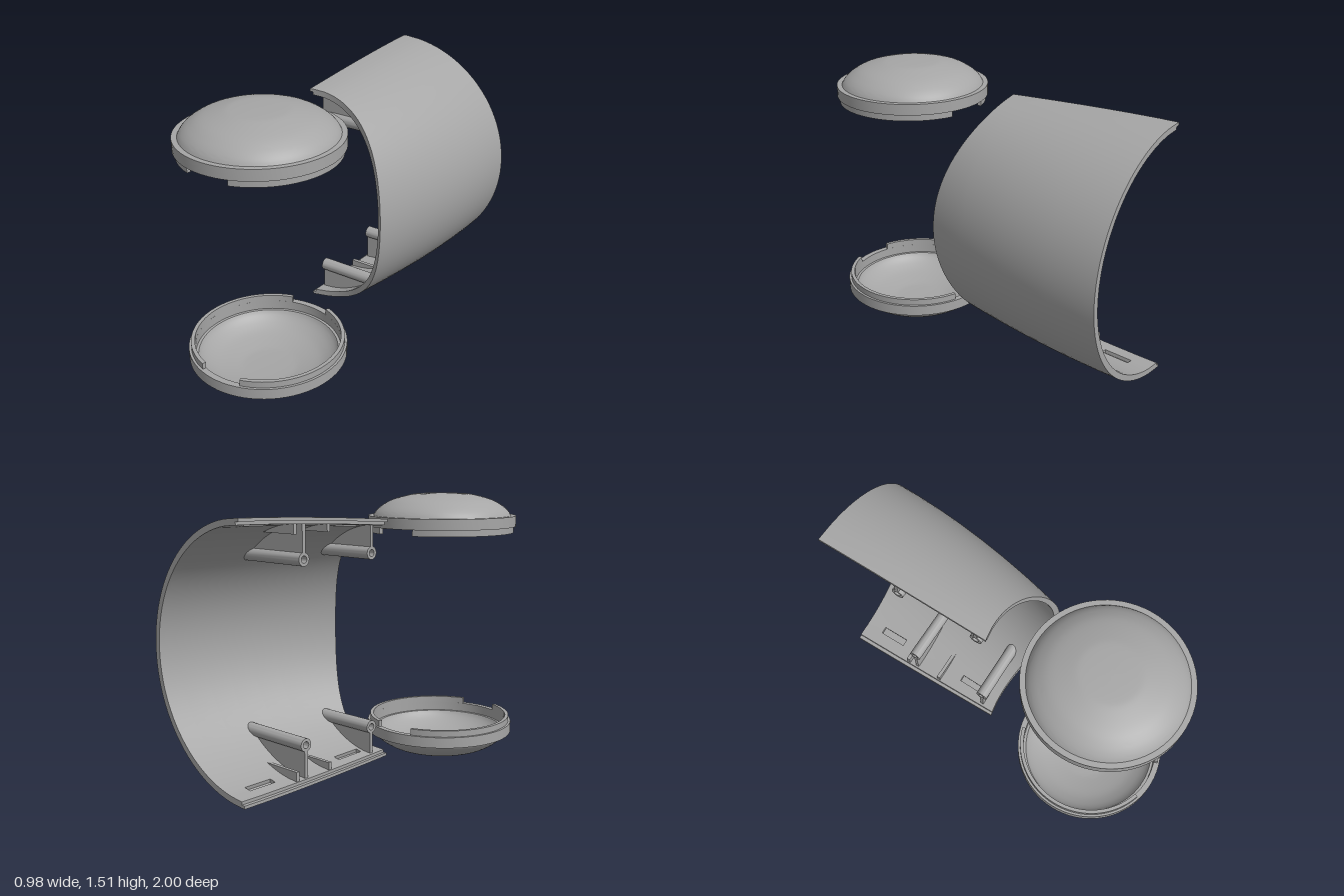
import * as THREE from 'three';
import { toCreasedNormals } from 'three/addons/utils/BufferGeometryUtils.js';

const CX = -0.205, CY = 0.755;            // axis of the half-round shell
const CAP_X = -0.07, CAP_Z = 0.575;       // vertical axis shared by the caps and the front cut
const THICK = 0.032;

// Half axes of the shell section, narrowing toward the front
const halfX = z => 0.695 - 0.165 * Math.pow(Math.max(0, z + 1) / 1.1, 1.9);
const halfY = z => 0.6825 - 0.045 * Math.pow(Math.max(0, z + 1) / 0.97, 1.5);
const shellX = (y, z, off) =>
  CX + (halfX(z) - off) * Math.sqrt(Math.max(0, 1 - ((y - CY) / (halfY(z) - off)) ** 2));

function shellGeometry() {
  // Angle stops: rabbet along each long edge, slot columns, even steps between
  const ends = [0, 0.03, 0.145, 0.206];
  const steps = 44, angles = [];
  for (const a of ends) angles.push(a - Math.PI / 2);
  for (let k = 1; k < steps; k++) angles.push(-Math.PI / 2 + 0.206 + (Math.PI - 0.412) * k / steps);
  for (const a of [...ends].reverse()) angles.push(Math.PI / 2 - a);
  const zStops = [-1, -0.89, -0.73, -0.6, -0.45, -0.3, -0.14], frontRows = 5;
  const cols = angles.length - 1, rows = zStops.length - 1 + frontRows;

  const point = (i, j, off) => {
    const c = Math.cos(angles[i]), s = Math.sin(angles[i]);
    let z = zStops[Math.min(j, zStops.length - 1)];
    if (j >= zStops.length) {
      // Front edge follows a round cut concentric with the caps
      let edge = 0;
      for (let n = 0; n < 12; n++) {
        const x = CX + (halfX(edge) - off) * c;
        edge = CAP_Z - Math.sqrt(0.615 ** 2 - (x - CAP_X) ** 2);
      }
      z += (edge - z) * (j - zStops.length + 1) / frontRows;
    }
    return [CX + (halfX(z) - off) * c, CY + (halfY(z) - off) * s, z];
  };
  const depth = (i, j) => {
    if (i < 0 || j < 0 || i >= cols || j >= rows) return 0;
    if (i === 0 || i === cols - 1) return THICK * 0.5;
    if ((i === 2 || i === cols - 3) && (j === 1 || j === 5)) return THICK * 0.4;
    return THICK;
  };

  const pos = [];
  const quad = (a, b, c, d) => pos.push(...a, ...b, ...c, ...a, ...c, ...d);
  for (let i = 0; i < cols; i++) for (let j = 0; j < rows; j++) {
    const d = depth(i, j);
    quad(point(i, j, 0), point(i + 1, j, 0), point(i + 1, j + 1, 0), point(i, j + 1, 0));
    quad(point(i, j + 1, d), point(i + 1, j + 1, d), point(i + 1, j, d), point(i, j, d));
    // Step walls wherever the neighbouring cell is thinner
    for (const side of [1, -1]) {
      const n = depth(i + side, j), e = side > 0 ? i + 1 : i;
      if (n < d) {
        const w = [point(e, j, d), point(e, j + 1, d), point(e, j + 1, n), point(e, j, n)];
        quad(...(side > 0 ? w : w.reverse()));
      }
      const m = depth(i, j + side), f = side > 0 ? j + 1 : j;
      if (m < d) {
        const w = [point(i, f, d), point(i, f, m), point(i + 1, f, m), point(i + 1, f, d)];
        quad(...(side > 0 ? w : w.reverse()));
      }
    }
  }
  const g = new THREE.BufferGeometry();
  g.setAttribute('position', new THREE.Float32BufferAttribute(pos, 3));
  return toCreasedNormals(g, 0.5);
}

// Upright web from a level edge down (or up) into the shell wall
function webGeometry(z, side, height, x0) {
  const yEdge = CY + side * height, off = THICK * 0.6;
  const x1 = shellX(yEdge, z, off);
  const shape = new THREE.Shape();
  shape.moveTo(x0, yEdge);
  for (let k = 0; k <= 12; k++) {
    const x = x1 + (x0 - x1) * k / 12;
    const t = (x - CX) / (halfX(z) - off);
    shape.lineTo(x, CY + side * (halfY(z) - off) * Math.sqrt(1 - t * t));
  }
  shape.closePath();
  const g = new THREE.ExtrudeGeometry(shape, { depth: 0.02, bevelEnabled: false });
  return g.translate(0, 0, z - 0.01);
}

// Hollow peg along x whose far end is trimmed to the shell wall
function pegGeometry(z, side) {
  const R = 0.034, r = 0.018, y = CY + side * 0.465;
  const profile = [[r, 0], [R, 0], [R, 1], [r, 1], [r, 0]].map(p => new THREE.Vector2(...p));
  const g = new THREE.LatheGeometry(profile, 28);
  g.rotateZ(-Math.PI / 2).translate(0, y, z);
  const p = g.attributes.position;
  for (let i = 0; i < p.count; i++) {
    p.setX(i, p.getX(i) > 0.5 ? shellX(p.getY(i), z, THICK * 0.5) : -0.175);
  }
  return toCreasedNormals(g, 0.6);
}

function makeCap(material) {
  const cap = new THREE.Group();
  // Domed dish with a raised band, hollow inside
  const dome = new THREE.SplineCurve([[0, 0], [0.12, 0.003], [0.18, 0.01], [0.279, 0.037],
    [0.339, 0.069], [0.375, 0.1], [0.392, 0.126]].map(p => new THREE.Vector2(...p))).getPoints(24);
  dome[0].x = 0;
  const inner = dome.map(p => new THREE.Vector2(p.x * 0.95, 0.02 + p.y * 0.9)).reverse();
  const profile = [...dome, new THREE.Vector2(0.42, 0.126), new THREE.Vector2(0.42, 0.186),
    new THREE.Vector2(0.387, 0.186), new THREE.Vector2(0.387, 0.134), ...inner];
  const dish = new THREE.Mesh(toCreasedNormals(new THREE.LatheGeometry(profile, 72), 0.5), material);
  dish.name = 'capDish';
  cap.add(dish);
  // Lip in two arcs, leaving a notch at the front and back
  const gap = 0.3, half = Math.PI / 2 - gap;
  for (const mid of [0, Math.PI]) {
    const s = new THREE.Shape();
    s.absarc(0, 0, 0.407, mid - half, mid + half, false);
    s.absarc(0, 0, 0.387, mid + half, mid - half, true);
    s.closePath();
    const g = new THREE.ExtrudeGeometry(s, { depth: 0.038, bevelEnabled: false, curveSegments: 32 });
    g.rotateX(-Math.PI / 2).translate(0, 0.183, 0);
    const lip = new THREE.Mesh(toCreasedNormals(g, 0.5), material);
    lip.name = 'capLip';
    cap.add(lip);
  }
  return cap;
}

export function createModel() {
  const model = new THREE.Group();
  model.name = 'splitCase';
  const grey = new THREE.MeshStandardMaterial({ color: 0xa6a6a6 });
  grey.name = 'plainGrey';
  const add = (name, geometry) => {
    const mesh = new THREE.Mesh(geometry, grey);
    mesh.name = name;
    model.add(mesh);
  };

  add('halfShell', shellGeometry());

  // Pegs, their webs and low ribs at the bottom and top
  for (const side of [-1, 1]) {
    for (const z of [-0.11, -0.58]) {
      add('hollowPeg', pegGeometry(z, side));
      add('pegWeb', webGeometry(z, side, 0.49, -0.175));
    }
    for (const z of [-0.42, -0.64]) add('lowRib', webGeometry(z, side, 0.59, -0.18));
  }

  const lower = makeCap(grey);
  lower.name = 'lowerCap';
  lower.position.set(CAP_X, 0, CAP_Z);
  const upper = makeCap(grey);
  upper.name = 'upperCap';
  upper.rotation.x = Math.PI;
  upper.position.set(CAP_X, CY * 2, CAP_Z);
  model.add(lower, upper);
  return model;
}
